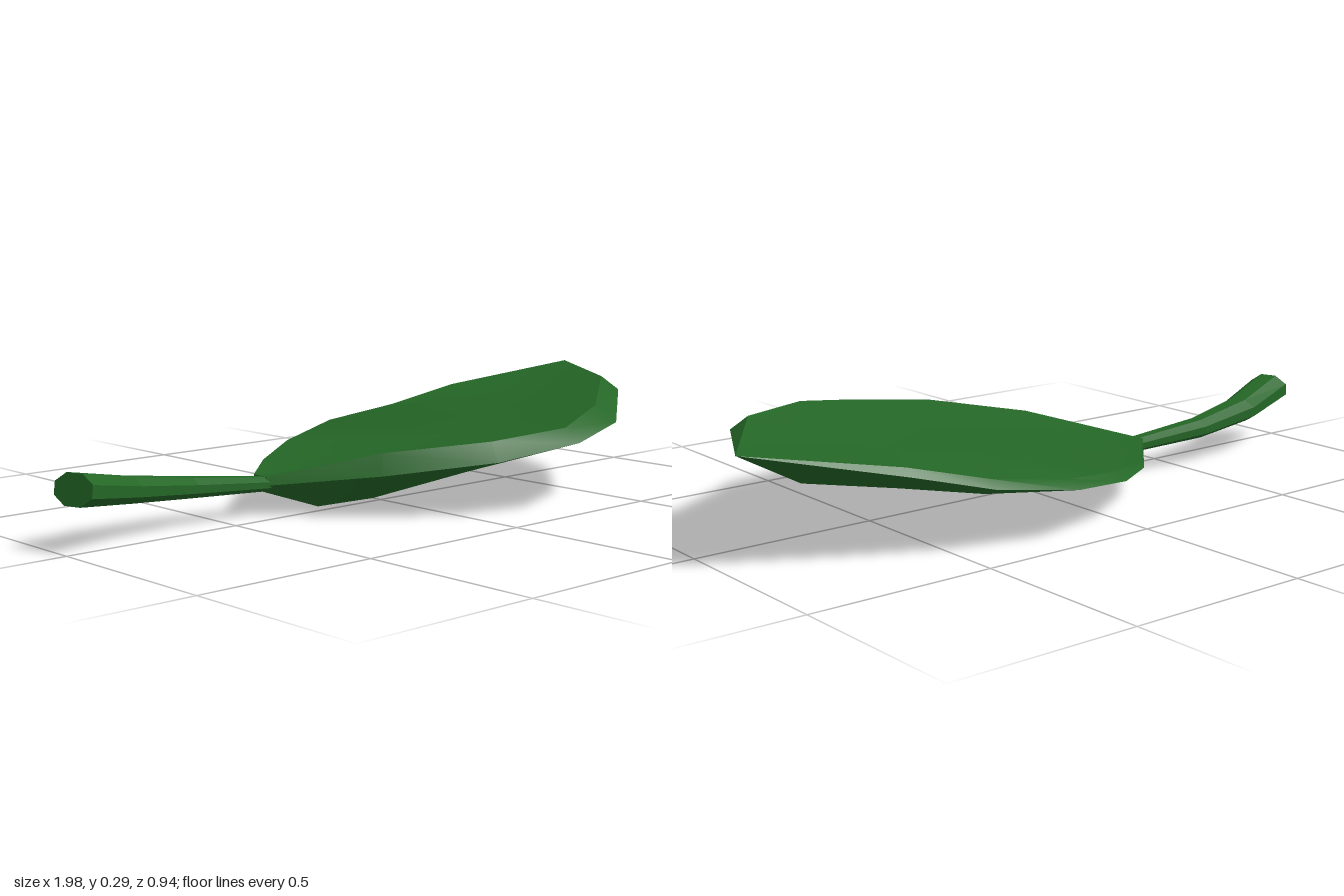
import * as THREE from 'three';
import { toCreasedNormals } from 'three/addons/utils/BufferGeometryUtils.js';

// Joins closed rings of points (running along +x) into a capped skin.
function loft(rings, creaseAngle) {
  const n = rings[0].length;
  const points = rings.flat();
  const index = [];
  for (let i = 0; i < rings.length - 1; i++) {
    for (let j = 0; j < n; j++) {
      const a = i * n + j;
      const b = i * n + (j + 1) % n;
      index.push(a, b, b + n, a, b + n, a + n);
    }
  }
  const last = (rings.length - 1) * n;
  for (let j = 1; j < n - 1; j++) {
    index.push(0, j + 1, j, last, last + j, last + j + 1);
  }
  const geometry = new THREE.BufferGeometry().setFromPoints(points);
  geometry.setIndex(index);
  return toCreasedNormals(geometry, creaseAngle);
}

const v = (p) => new THREE.Vector3(...p);

// Blade: a broad, slightly dished top over a shallow keel
function bladeGeometry() {
  const tip = [0.99, 0.29, -0.2];
  const backRim = [[-0.36, 0.08, -0.1], [-0.2, 0.08, -0.275], [-0.02, 0.1, -0.4],
    [0.2, 0.13, -0.47], [0.42, 0.16, -0.43], [0.62, 0.21, -0.36], tip];
  const frontRim = [[-0.36, 0.08, -0.035], [-0.17, 0.11, 0.19], [0.05, 0.145, 0.39],
    [0.28, 0.18, 0.465], [0.51, 0.205, 0.4], [0.79, 0.25, 0.18], tip];
  const frontTop = [[-0.36, 0.1, -0.05], [-0.15, 0.165, 0.165], [0.06, 0.195, 0.355],
    [0.28, 0.215, 0.415], [0.48, 0.25, 0.35], [0.76, 0.288, 0.14], tip];
  const keel = [[-0.36, 0.06, -0.068], [-0.2, 0.004, -0.03], [0, 0, -0.03],
    [0.15, 0.015, -0.03], [0.45, 0.09, -0.06], [0.76, 0.165, -0.1], tip];

  const rings = backRim.map((rim, i) => {
    const isTip = i === backRim.length - 1;
    const inner = isTip || i === 0 ? 0 : 1;
    const back = v(rim);
    const front = v(frontTop[i]);
    const backTop = back.clone().lerp(front, 0.035 * inner);
    backTop.y = rim[1] + (isTip ? 0 : 0.022);
    const midrib = backTop.clone().lerp(front, 0.5);
    midrib.y -= 0.03 * inner;
    return [back, backTop, midrib, front, v(frontRim[i]), v(keel[i])];
  });
  return loft(rings, 0.65);
}

// Stalk: a faceted, bending stem that flares towards its cut end
function stalkGeometry() {
  const sides = 8;
  // x, y, z, half height, half width
  const stations = [[-0.97, 0.152, -0.01, 0.043, 0.062], [-0.78, 0.12, -0.068, 0.035, 0.056],
    [-0.58, 0.097, -0.088, 0.028, 0.044], [-0.35, 0.08, -0.068, 0.02, 0.034]];
  const centres = stations.map(v3 => v(v3.slice(0, 3)));
  const rings = stations.map(([, , , h, w], i) => {
    const along = centres[Math.min(i + 1, 3)].clone().sub(centres[Math.max(i - 1, 0)]).normalize();
    const side = new THREE.Vector3().crossVectors(along, new THREE.Vector3(0, 1, 0)).normalize();
    const up = new THREE.Vector3().crossVectors(side, along);
    return Array.from({ length: sides }, (_, j) => {
      const a = (j + 0.5) / sides * Math.PI * 2;
      return centres[i].clone()
        .addScaledVector(side, -Math.cos(a) * w)
        .addScaledVector(up, Math.sin(a) * h);
    });
  });
  return loft(rings, 0.05);
}

export function createModel() {
  const leafGreen = new THREE.MeshStandardMaterial({ color: 0x246626 });
  leafGreen.name = 'leafGreen';

  const leaf = new THREE.Group();
  leaf.name = 'leaf';
  const blade = new THREE.Mesh(bladeGeometry(), leafGreen);
  blade.name = 'blade';
  const stalk = new THREE.Mesh(stalkGeometry(), leafGreen);
  stalk.name = 'stalk';
  leaf.add(blade, stalk);
  return leaf;
}
